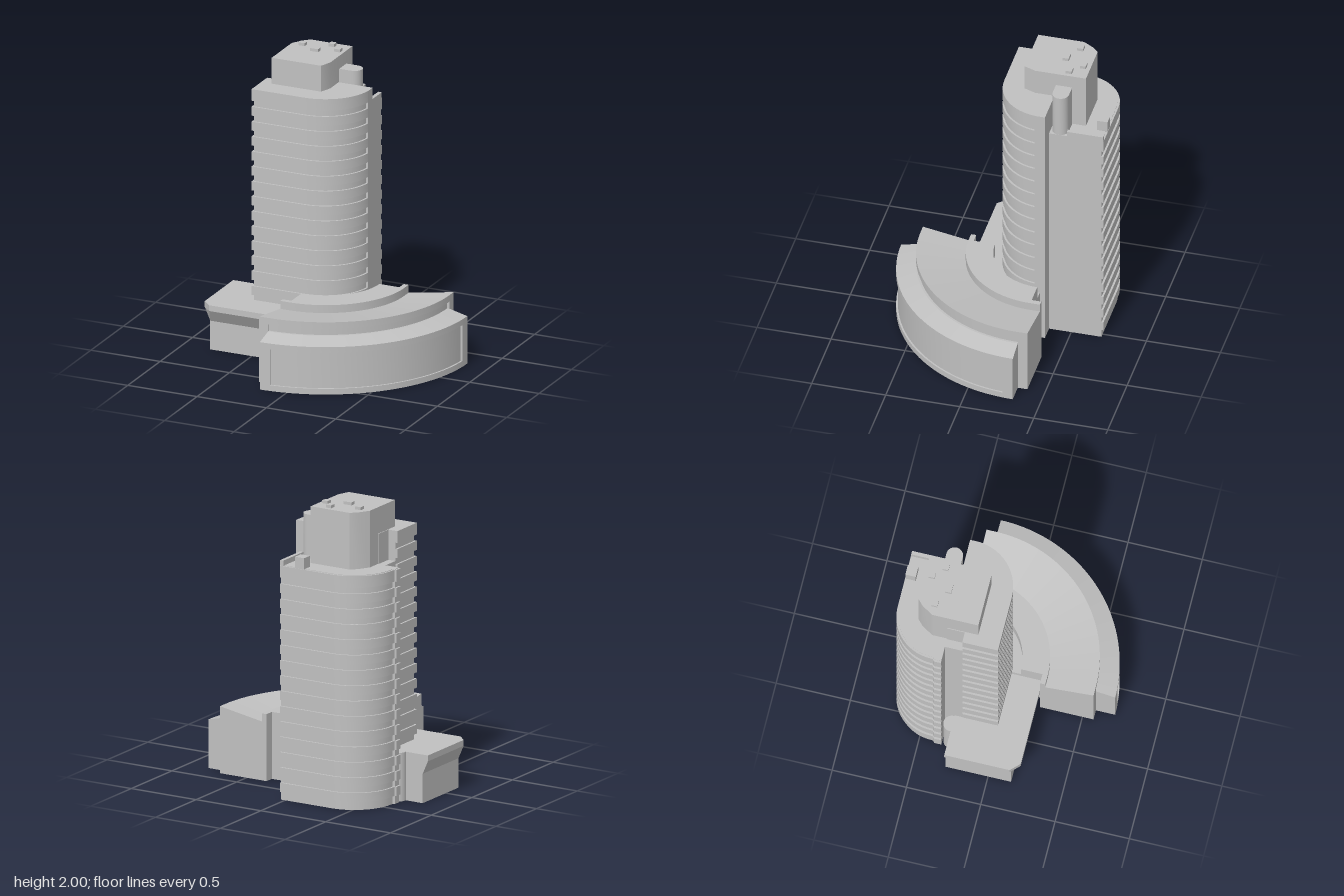
import * as THREE from 'three';
import { toCreasedNormals } from 'three/addons/utils/BufferGeometryUtils.js';
import { ConvexGeometry } from 'three/addons/geometries/ConvexGeometry.js';

const concrete = new THREE.MeshStandardMaterial({ color: 0xc0c0c0 });
concrete.name = 'concrete';
const V2 = (p) => new THREE.Vector2(p[0], p[1]);

export function createModel() {
  const model = new THREE.Group();
  model.name = 'towerBlock';

  const add = (name, geo, parent = model) => {
    const mesh = new THREE.Mesh(geo, concrete);
    mesh.name = name;
    parent.add(mesh);
    return mesh;
  };
  const group = (name) => {
    const g = new THREE.Group();
    g.name = name;
    model.add(g);
    return g;
  };
  const box = (name, x0, x1, y0, y1, z0, z1, parent) => {
    const geo = new THREE.BoxGeometry(x1 - x0, y1 - y0, z1 - z0);
    geo.translate((x0 + x1) / 2, (y0 + y1) / 2, (z0 + z1) / 2);
    return add(name, geo, parent);
  };
  // plan outline in [x, z], raised from y0 to y1
  const raise = (plan, y0, y1) => {
    const shape = new THREE.Shape(plan.map(([x, z]) => new THREE.Vector2(x, -z)));
    const geo = new THREE.ExtrudeGeometry(shape, { depth: y1 - y0, bevelEnabled: false });
    geo.rotateX(-Math.PI / 2).translate(0, y0, 0);
    return toCreasedNormals(geo, 0.4);
  };
  // plan points on an ellipse, angle measured from +x towards +z
  const arc = (cx, cz, rx, rz, from, to, n = 14) => Array.from({ length: n + 1 }, (_, i) => {
    const t = THREE.MathUtils.degToRad(from + ((to - from) * i) / n);
    return [cx + rx * Math.cos(t), cz + rz * Math.sin(t)];
  });

  // storeys: recessed core with projecting bands
  const PITCH = 0.104;
  const bands = (name, plan, first, last, parent) => {
    for (let k = first; k <= last; k++) {
      const y = 1.72 - PITCH * k;
      add(name, raise(plan, y, y + (k === first ? 0.08 : 0.062)), parent);
    }
  };

  // front tower with one rounded corner
  const front = group('frontTower');
  const frontPlan = (d, back) => [
    [-0.57 + d, 0.01 - d], ...arc(-0.19, -0.31, 0.325 - d, 0.32 - d, 90, 0),
    [0.135 - d, back], [-0.5, back], [-0.5, -0.23], [-0.57 + d, -0.23],
  ];
  add('frontCore', raise(frontPlan(0.013, -0.35), 0, 1.79), front);
  bands('frontBand', frontPlan(0, -0.35), 0, 13, front);
  box('frontEndWall', 0, 0.135, 0, 1.8, -0.35, -0.28, front);

  // rear tower, rounded on the opposite corner
  const rear = group('rearTower');
  const rearPlan = (d) => [
    [-0.67 + d, -0.35], [-0.67 + d, -0.4], [-0.656 + d, -0.405],
    ...arc(-0.36, -0.42, 0.295 - d, 0.297 - d, 180, 270),
    [0.03, -0.717 + d], [0.03, -0.345], [-0.4, -0.345], [-0.4, -0.23],
    [-0.555, -0.23], [-0.555, -0.35],
  ];
  add('rearCore', raise(rearPlan(0.013), 0, 1.595), rear);
  bands('rearBand', rearPlan(0), 2, 16, rear);
  box('rearParapet', 0.005, 0.03, 1.59, 1.63, -0.715, -0.47, rear);
  box('rearVent', -0.155, -0.085, 1.59, 1.67, -0.715, -0.645, rear);

  // penthouse, stair head and roof vents
  const roof = group('roofPlant');
  add('penthouse', raise([
    [-0.495, -0.14], [-0.14, -0.14], [-0.11, -0.22], [-0.11, -0.563],
    [-0.41, -0.563], [-0.45, -0.525], [-0.495, -0.45],
  ], 1.58, 1.98), roof);
  add('stairHead', raise([
    [-0.15, -0.36], [-0.025, -0.36], ...arc(-0.025, -0.415, 0.055, 0.055, 90, -90), [-0.15, -0.47],
  ], 1.58, 1.89), roof);
  for (const [x, z, w] of [[-0.415, -0.45, 0.045], [-0.23, -0.515, 0.04], [-0.155, -0.44, 0.042], [-0.295, -0.385, 0.06]]) {
    box('roofVent', x - w / 2, x + w / 2, 1.97, 2, z - 0.02, z + 0.02, roof);
  }

  // side podium with a flared canopy
  const side = group('sidePodium');
  const level = (pts, y) => pts.map(([x, z]) => new THREE.Vector3(x, y, z));
  const rim = [[-0.84, -0.285], [-0.84, 0.155], [-0.78, 0.215], [-0.185, 0.215], [-0.185, -0.285]];
  const foot = [[-0.8, -0.285], [-0.8, 0.155], [-0.185, 0.155], [-0.185, -0.285]];
  add('canopy', new ConvexGeometry([...level(rim, 0.33), ...level(rim, 0.29), ...level(foot, 0.2)]), side);
  box('sidePodiumWalls', -0.8, -0.185, 0, 0.21, -0.285, 0.155, side);
  const bump = new THREE.CylinderGeometry(0.055, 0.055, 0.33, 20);
  add('serviceShaft', bump.translate(-0.615, 0.165, -0.29), side);

  // curved podium: closed [radius, y] profiles swept a quarter turn
  const curved = group('curvedPodium');
  curved.position.set(-0.185, 0, -0.315);
  const sweep = (name, profile, from, to) => {
    const a = THREE.MathUtils.degToRad(from);
    const b = THREE.MathUtils.degToRad(to);
    const ring = [...profile, profile[0]].map(V2);
    const segments = Math.max(2, Math.round((to - from) / 2.5));
    add(name, toCreasedNormals(new THREE.LatheGeometry(ring, segments, a, b - a), 0.2), curved);
    const shape = new THREE.Shape(profile.map(V2));
    add(name + 'Start', new THREE.ShapeGeometry(shape).rotateY(a - Math.PI / 2), curved);
    const end = new THREE.ShapeGeometry(shape);
    end.index.array.reverse();
    end.computeVertexNormals();
    add(name + 'End', end.rotateY(b - Math.PI / 2), curved);
  };
  const plain = [[0.01, 0], [1.02, 0], [1.02, 0.33], [0.89, 0.362], [0.01, 0.362]];
  const panelled = [
    [0.01, 0], [1.02, 0], [1.02, 0.04], [1.008, 0.04], [1.008, 0.29],
    [1.02, 0.29], [1.02, 0.33], [0.89, 0.362], [0.01, 0.362],
  ];
  sweep('podiumEdge', plain, 0, 4);
  sweep('podiumFront', panelled, 4, 86);
  sweep('podiumEdge', plain, 86, 90);
  sweep('podiumRoof', [
    [0.385, 0.3], [0.875, 0.3], [0.875, 0.41], [0.89, 0.41],
    [0.89, 0.455], [0.565, 0.4], [0.565, 0.455], [0.385, 0.455],
  ], 0, 90);

  // end walls extending past the quarter turn
  const endShape = new THREE.Shape([
    [0.53, 0], [0.89, 0], [0.89, 0.455], [0.565, 0.4], [0.565, 0.455], [0.53, 0.455],
  ].map(V2));
  const endWall = () => new THREE.ExtrudeGeometry(endShape, { depth: 0.065, bevelEnabled: false });
  add('rightEndWall', endWall().rotateY(-Math.PI / 2), curved);
  add('rearEndWall', endWall().translate(0, 0, -0.065), curved);

  return model;
}
